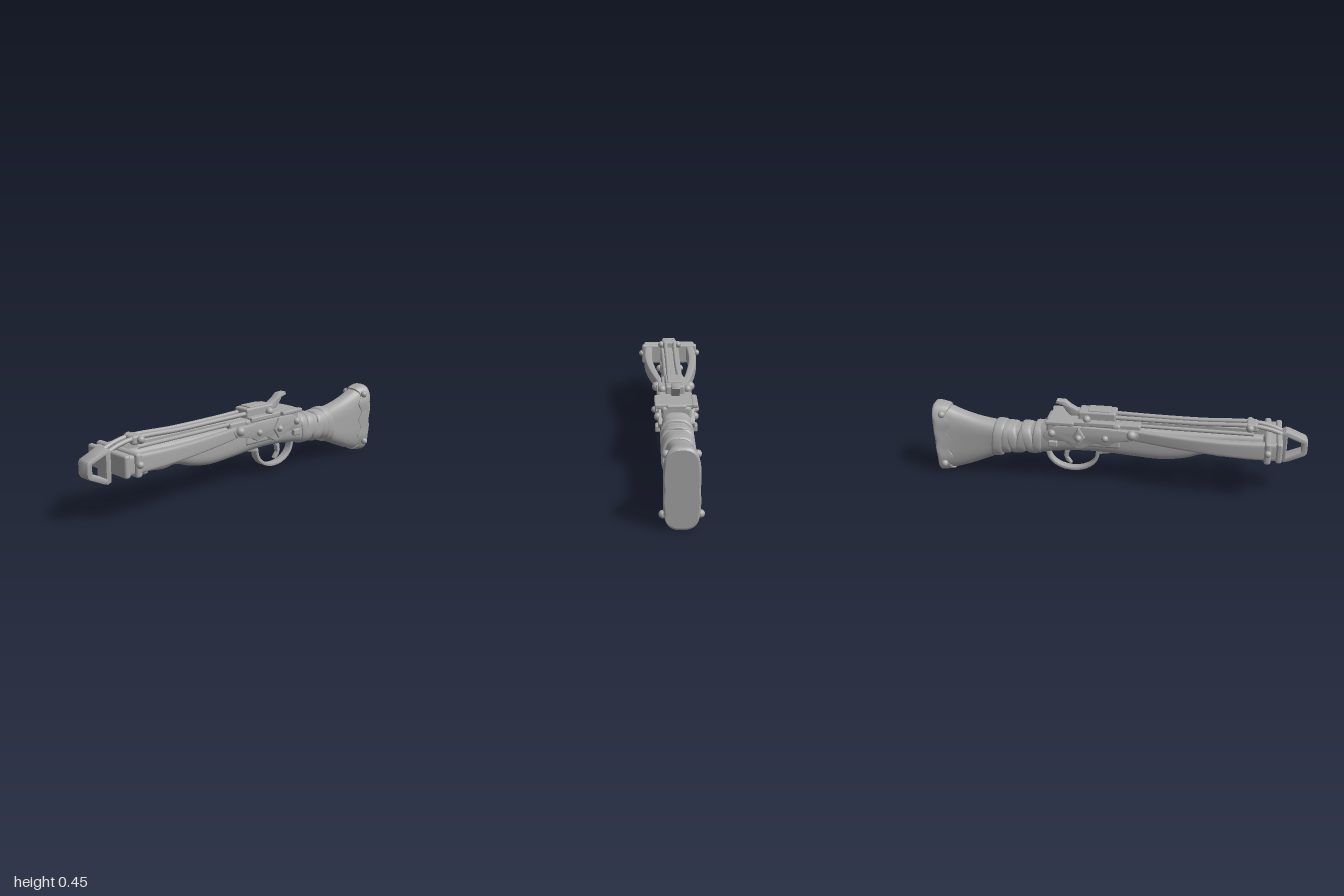
import * as THREE from 'three';
import { toCreasedNormals } from 'three/addons/utils/BufferGeometryUtils.js';
import { RoundedBoxGeometry } from 'three/addons/geometries/RoundedBoxGeometry.js';

const grey = new THREE.MeshStandardMaterial({ color: 0xa6a6a6 });
grey.name = 'clay grey';

// Skin over cross-sections [z, bottom, top, halfWidth, xCentre], ordered front to back.
function loft(sections, { power = 2.6, sides = 32, steps = 4, pinch = 0, warp = null } = {}) {
  const curves = [0, 1, 2, 3, 4].map(k => sections.map(s => s[k] || 0));
  const n = (sections.length - 1) * steps;
  const at = (v, t) => {
    const i = Math.min(Math.floor(t), v.length - 2), f = t - i;
    const a = v[Math.max(i - 1, 0)], b = v[i], c = v[i + 1], d = v[Math.min(i + 2, v.length - 1)];
    return b + 0.5 * f * (c - a + f * (2 * a - 5 * b + 4 * c - d + f * (3 * (b - c) + d - a)));
  };
  const pos = [], idx = [];
  for (let i = 0; i <= n; i++) {
    const [z, lo, hi, w, xc] = curves.map(v => at(v, i / steps));
    for (let j = 0; j < sides; j++) {
      const a = (j / sides) * Math.PI * 2, c = Math.cos(a), s = Math.sin(a);
      const sx = Math.sign(c) * Math.abs(c) ** (2 / power), sy = Math.sign(s) * Math.abs(s) ** (2 / power);
      const x = xc + w * sx * (1 - pinch * (1 - Math.abs(sy)));
      const y = (lo + hi) / 2 + sy * (hi - lo) / 2;
      pos.push(x, y, z + (warp ? warp(i / n, y, a) : 0));
    }
  }
  for (let i = 0; i < n; i++) for (let j = 0; j < sides; j++) {
    const k = (j + 1) % sides, p = i * sides, q = p + sides;
    idx.push(p + j, q + j, p + k, q + j, q + k, p + k);
  }
  // End caps with their own vertices
  for (const end of [0, n]) {
    const base = pos.length / 3, from = end * sides * 3;
    const ring = pos.slice(from, from + sides * 3);
    let cy = 0, cz = 0, cx = 0;
    for (let j = 0; j < sides; j++) {
      cx += ring[j * 3] / sides; cy += ring[j * 3 + 1] / sides; cz += ring[j * 3 + 2] / sides;
    }
    pos.push(...ring, cx, cy, cz);
    for (let j = 0; j < sides; j++) {
      const k = (j + 1) % sides;
      idx.push(base + sides, base + (end ? k : j), base + (end ? j : k));
    }
  }
  const g = new THREE.BufferGeometry();
  g.setAttribute('position', new THREE.Float32BufferAttribute(pos, 3));
  g.setIndex(idx);
  g.computeVertexNormals();
  return g;
}

// Side outline of [z, y] points, given a width across x.
function sideCut(points, width, { bevel = 0.006, hole = null, smooth = false } = {}) {
  const v = pts => pts.map(p => new THREE.Vector2(...p));
  const shape = new THREE.Shape(smooth
    ? new THREE.SplineCurve(v([...points, points[0]])).getPoints(points.length * 5).slice(0, -1) : v(points));
  if (hole) shape.holes.push(new THREE.Path(v(hole)));
  const g = new THREE.ExtrudeGeometry(shape, {
    depth: width - 2 * bevel, bevelEnabled: bevel > 0, bevelSize: bevel, bevelThickness: bevel,
    bevelOffset: -bevel, bevelSegments: 2
  });
  g.translate(0, 0, -(width - 2 * bevel) / 2).rotateY(-Math.PI / 2);
  return toCreasedNormals(g, 0.7);
}

export function createModel() {
  const model = new THREE.Group();
  model.name = 'crossbow';
  const add = (name, geometry, x = 0, y = 0, z = 0) => {
    const m = new THREE.Mesh(geometry, grey);
    m.name = name;
    m.position.set(x, y, z);
    model.add(m);
    return m;
  };
  const box = (name, w, h, d, x, y, z, r = 0.007) =>
    add(name, new RoundedBoxGeometry(w, h, d, 2, r), x, y, z);
  const tube = (name, pts, r) => add(name, new THREE.TubeGeometry(
    new THREE.CatmullRomCurve3(pts.map(p => new THREE.Vector3(...p))), 32, r, 10));
  const stud = (name, x, y, z, r, stretch = 1) => {
    const m = add(name, new THREE.SphereGeometry(r, 16, 12), x, y, z);
    m.scale.x = stretch;
  };

  // Wooden fore-end with a wavy underside
  add('foreStock', loft([
    [0.83, 0.228, 0.335, 0.045], [0.7, 0.218, 0.335, 0.05], [0.62, 0.2, 0.335, 0.052],
    [0.55, 0.193, 0.335, 0.054], [0.49, 0.203, 0.335, 0.056], [0.44, 0.195, 0.335, 0.057],
    [0.37, 0.172, 0.335, 0.06], [0.25, 0.155, 0.335, 0.063], [0.1, 0.163, 0.34, 0.066],
    [-0.05, 0.176, 0.345, 0.07], [-0.2, 0.178, 0.345, 0.074], [-0.34, 0.165, 0.34, 0.076],
    [-0.42, 0.15, 0.315, 0.074]], { power: 3 }));

  // Wrist flaring into the shoulder stock
  add('buttStock', loft([
    [-0.38, 0.155, 0.32, 0.074], [-0.5, 0.148, 0.3, 0.072], [-0.62, 0.132, 0.302, 0.074],
    [-0.7, 0.095, 0.315, 0.067], [-0.78, 0.06, 0.333, 0.066], [-0.86, 0.03, 0.36, 0.068],
    [-0.92, 0.015, 0.385, 0.074], [-0.98, 0.01, 0.4, 0.083]], { power: 2.8, pinch: 0.08 }));

  // Butt plate with scalloped front edge and a slightly leaning back face
  add('buttPlate', loft([
    [-0.915, 0.012, 0.389, 0.078], [-0.945, 0.007, 0.398, 0.084], [-0.97, 0.003, 0.403, 0.09],
    [-0.986, 0.003, 0.404, 0.09], [-0.992, 0.014, 0.394, 0.081]], {
    power: 3, pinch: 0.1, sides: 64,
    warp: (t, y) => (1 - t) * 0.013 * Math.cos(y * 62) + t * (0.2 - y) * 0.05
  }));

  // Cloth wraps around the wrist
  [[-0.425, 0.05, 0.145, 0.322, 0.1], [-0.468, 0.055, 0.143, 0.312, -0.25],
   [-0.51, 0.06, 0.14, 0.308, 0.3], [-0.555, 0.055, 0.137, 0.308, -0.2],
   [-0.595, 0.05, 0.133, 0.31, 0.1], [-0.642, 0.06, 0.112, 0.318, 0.12]].forEach(([z, d, lo, hi, tilt], i) =>
    add('wristWrap' + (i + 1), loft([
      [z + d / 2, lo + 0.007, hi - 0.007, 0.074], [z + d / 3, lo, hi, 0.082],
      [z - d / 3, lo, hi, 0.084], [z - d / 2, lo + 0.007, hi - 0.007, 0.075]],
    { power: 2.5, warp: (t, y) => tilt * (y - 0.22) })));

  // Receiver body, top housing and deck
  box('receiverBody', 0.15, 0.14, 0.4, 0, 0.29, -0.17, 0.015);
  box('receiverDeck', 0.17, 0.026, 0.36, 0, 0.358, -0.18);
  box('frontHousing', 0.13, 0.075, 0.15, 0, 0.322, 0.06, 0.01);
  box('topHousing', 0.098, 0.05, 0.2, 0, 0.388, -0.1, 0.01);
  box('topCap', 0.075, 0.016, 0.12, 0, 0.412, -0.09, 0.005);
  box('rearDeck', 0.1, 0.03, 0.14, 0, 0.355, -0.3, 0.01);

  // Curled release lever
  add('releaseLever', sideCut([[-0.15, 0.408], [-0.21, 0.41], [-0.245, 0.43], [-0.275, 0.455],
    [-0.32, 0.457], [-0.326, 0.44], [-0.29, 0.431], [-0.27, 0.4], [-0.245, 0.375], [-0.15, 0.375]], 0.044));

  // Trigger and its flat ring guard
  const ring = (rz, ry, a0, a1) => Array.from({ length: 29 }, (_, i) => {
    const a = a0 + (a1 - a0) * i / 28;
    return [-0.24 + rz * Math.cos(a), 0.155 + ry * Math.sin(a)];
  });
  add('triggerGuard', sideCut([[0.01, 0.185], [-0.04, 0.165], [-0.09, 0.157],
    ...ring(0.145, 0.108, 0, -Math.PI), [-0.385, 0.175], [-0.365, 0.175],
    ...ring(0.126, 0.09, -Math.PI, 0), [-0.11, 0.175], [-0.08, 0.185]], 0.044, { bevel: 0.004 }));
  add('trigger', sideCut([[-0.235, 0.185], [-0.262, 0.15], [-0.268, 0.12], [-0.245, 0.088],
    [-0.255, 0.08], [-0.28, 0.1], [-0.29, 0.13], [-0.285, 0.16], [-0.275, 0.185]], 0.026, { bevel: 0.005 }));

  for (const s of [1, -1]) {
    const side = s > 0 ? 'left' : 'right';
    // Ornate side plate with a raised diamond
    add(side + 'SidePlate', sideCut([[0.04, 0.335], [-0.1, 0.342], [-0.29, 0.342], [-0.345, 0.315],
      [-0.385, 0.28], [-0.35, 0.245], [-0.28, 0.255], [-0.235, 0.23], [-0.19, 0.213], [-0.145, 0.23],
      [-0.1, 0.25], [-0.04, 0.242], [0.01, 0.265], [0.11, 0.285], [0.12, 0.325]], 0.03, { smooth: true }), s * 0.076);
    add(side + 'Diamond', sideCut([[-0.19, 0.345], [-0.155, 0.285], [-0.19, 0.23], [-0.225, 0.285]],
      0.024, { bevel: 0.01 }), s * 0.091);
    box(side + 'UpperRail', 0.03, 0.022, 0.15, s * 0.093, 0.362, -0.29);
    box(side + 'LowerLug', 0.025, 0.035, 0.05, s * 0.094, 0.24, -0.33);
    stud(side + 'PivotStud', s * 0.09, 0.315, 0.09, 0.026);
    stud(side + 'FrontPlateStud', s * 0.09, 0.285, -0.05, 0.018);
    stud(side + 'DiamondStud', s * 0.102, 0.285, -0.19, 0.018, 1.2);
    stud(side + 'RearPlateStud', s * 0.092, 0.3, -0.335, 0.02);
    stud(side + 'HousingStud', s * 0.065, 0.38, -0.15, 0.021);
    stud(side + 'ButtTopStud', s * 0.068, 0.355, -0.945, 0.019);
    stud(side + 'ButtBottomStud', s * 0.084, 0.068, -0.945, 0.019);

    // Swept-forward bow limb
    add(side + 'Limb', loft([
      [0.84, 0.246, 0.342, 0.024, s * 0.124], [0.7, 0.25, 0.34, 0.024, s * 0.13],
      [0.55, 0.257, 0.338, 0.023, s * 0.129], [0.4, 0.264, 0.337, 0.022, s * 0.115],
      [0.25, 0.27, 0.336, 0.02, s * 0.092], [0.1, 0.276, 0.335, 0.017, s * 0.064],
      [0.03, 0.28, 0.335, 0.016, s * 0.055]], { power: 5, sides: 24 }));
    stud(side + 'LimbTipStud', s * 0.168, 0.298, 0.795, 0.018);

    // Draw cords along the top, looped over the front bar
    tube(side + 'Cord', [[s * 0.022, 0.345, 0.87], [s * 0.024, 0.365, 0.82], [s * 0.026, 0.384, 0.72],
      [s * 0.025, 0.378, 0.45], [s * 0.025, 0.38, 0.2], [s * 0.03, 0.384, -0.02]], 0.012);
    tube(side + 'LowerCord', [[s * 0.045, 0.345, 0.72], [s * 0.042, 0.347, 0.4], [s * 0.042, 0.352, 0]], 0.01);
    stud(side + 'CordKnob', s * 0.05, 0.378, 0.7, 0.02);
    stud(side + 'ForeBandStud', s * 0.062, 0.228, 0.7, 0.02);
  }

  // Centre rail, cord clamp and fore band
  box('centreRail', 0.03, 0.035, 0.78, 0, 0.345, 0.4, 0.005);
  box('cordClamp', 0.085, 0.045, 0.06, 0, 0.376, 0.71, 0.012);
  box('foreBand', 0.12, 0.055, 0.09, 0, 0.23, 0.71, 0.012);
  box('foreBandFront', 0.108, 0.13, 0.035, 0, 0.282, 0.79, 0.01);

  // Crossbars and front stirrup
  box('rearCrossbar', 0.335, 0.12, 0.035, 0, 0.293, 0.795, 0.014);
  box('midCrossbar', 0.29, 0.092, 0.05, 0, 0.294, 0.825, 0.01);
  box('frontCrossbar', 0.31, 0.112, 0.032, 0, 0.294, 0.852, 0.012);
  add('stirrup', sideCut([[0.865, 0.2], [0.885, 0.19], [0.905, 0.195], [0.99, 0.235], [1, 0.25], [1, 0.31],
    [0.99, 0.325], [0.905, 0.362], [0.885, 0.366], [0.865, 0.355]], 0.08, {
    bevel: 0.008, hole: [[0.895, 0.222], [0.97, 0.255], [0.97, 0.305], [0.895, 0.335]]
  }));
  return model;
}
